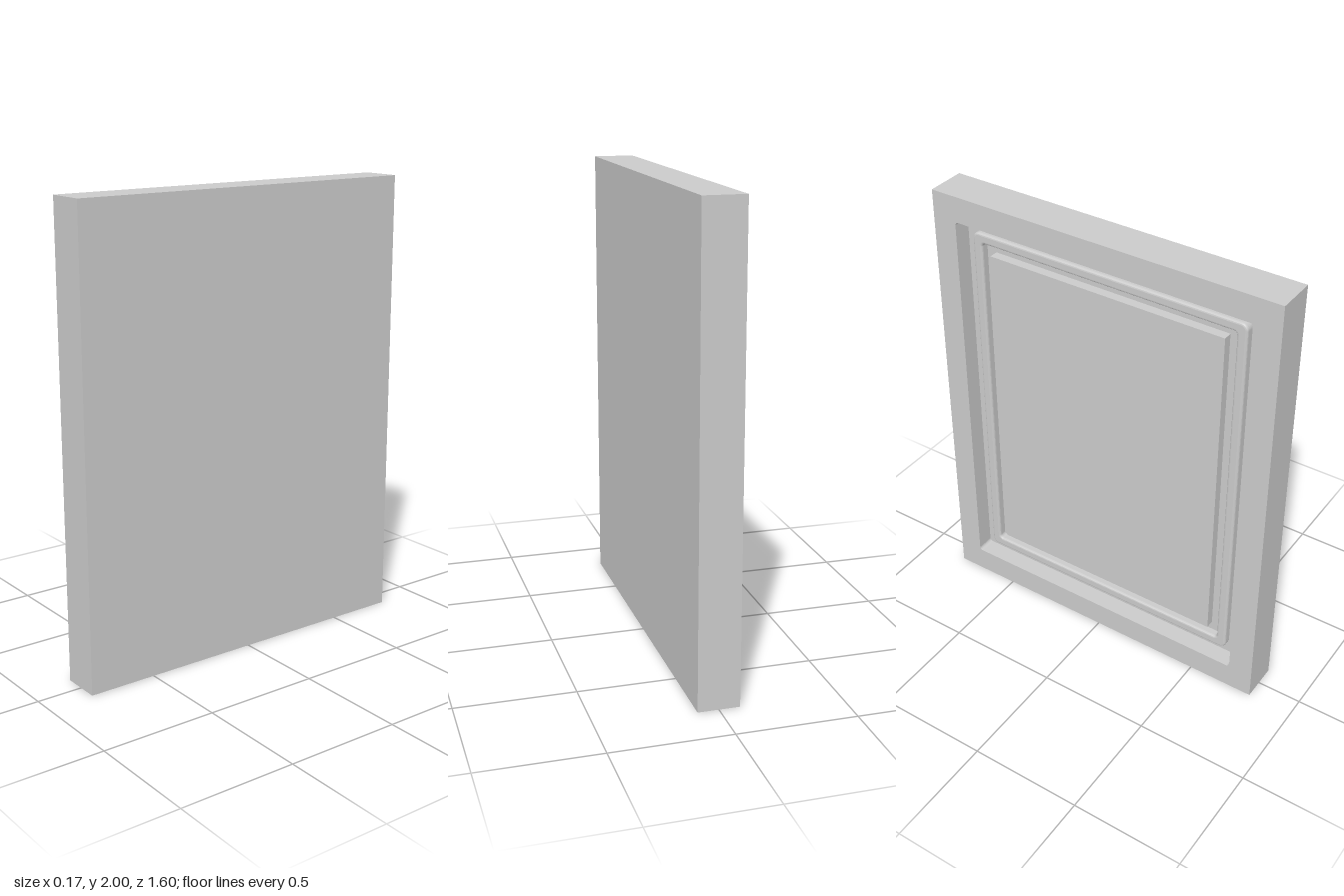
import * as THREE from 'three';

const material = new THREE.MeshStandardMaterial({ color: 0xcccccc, flatShading: true });
const HALF = 0.0875;   // half the thickness of the door
const FLOOR = -0.0075; // x of the recess floor

// Rectangle with rounded corners, given by half width, half height and radius
function roundedRect(w, h, r, Type = THREE.Shape) {
  const s = new Type();
  if (r === 0) {
    s.setFromPoints([[-w, -h], [w, -h], [w, h], [-w, h], [-w, -h]].map(([a, b]) => new THREE.Vector2(a, b)));
    return s;
  }
  s.moveTo(w, -h + r);
  s.absarc(w - r, h - r, r, 0, Math.PI / 2);
  s.absarc(-w + r, h - r, r, Math.PI / 2, Math.PI);
  s.absarc(-w + r, -h + r, r, Math.PI, Math.PI * 1.5);
  s.absarc(w - r, -h + r, r, Math.PI * 1.5, Math.PI * 2);
  s.closePath();
  return s;
}

// Extrudes a shape from x = from towards -x, ending at x = to
function layer(name, shape, from, to, bevel = 0) {
  const geometry = new THREE.ExtrudeGeometry(shape, {
    depth: from - to - bevel * 2,
    curveSegments: 5,
    bevelEnabled: bevel > 0,
    bevelThickness: bevel,
    bevelSize: bevel,
    bevelOffset: -bevel,
    bevelSegments: 3,
  });
  geometry.translate(0, 0, bevel);
  geometry.rotateY(-Math.PI / 2);
  geometry.translate(from, 1, 0);
  const mesh = new THREE.Mesh(geometry, material);
  mesh.name = name;
  return mesh;
}

export function createModel() {
  const group = new THREE.Group();
  group.name = 'cabinetDoor';

  // Flat slab closing the +x side
  group.add(layer('backSlab', roundedRect(0.8, 1, 0), HALF, FLOOR));

  // Outer frame around the recess
  const frame = roundedRect(0.8, 1, 0);
  frame.holes.push(roundedRect(0.69, 0.885, 0.015, THREE.Path));
  group.add(layer('frame', frame, FLOOR, -HALF));

  // Rounded bead running around the recess
  const bead = roundedRect(0.64, 0.84, 0.03);
  bead.holes.push(roundedRect(0.595, 0.795, 0.015, THREE.Path));
  group.add(layer('beadMoulding', bead, FLOOR + 0.03, -0.044, 0.01));

  // Raised centre panel
  group.add(layer('centrePanel', roundedRect(0.55, 0.753, 0), FLOOR, -0.0475));

  return group;
}
